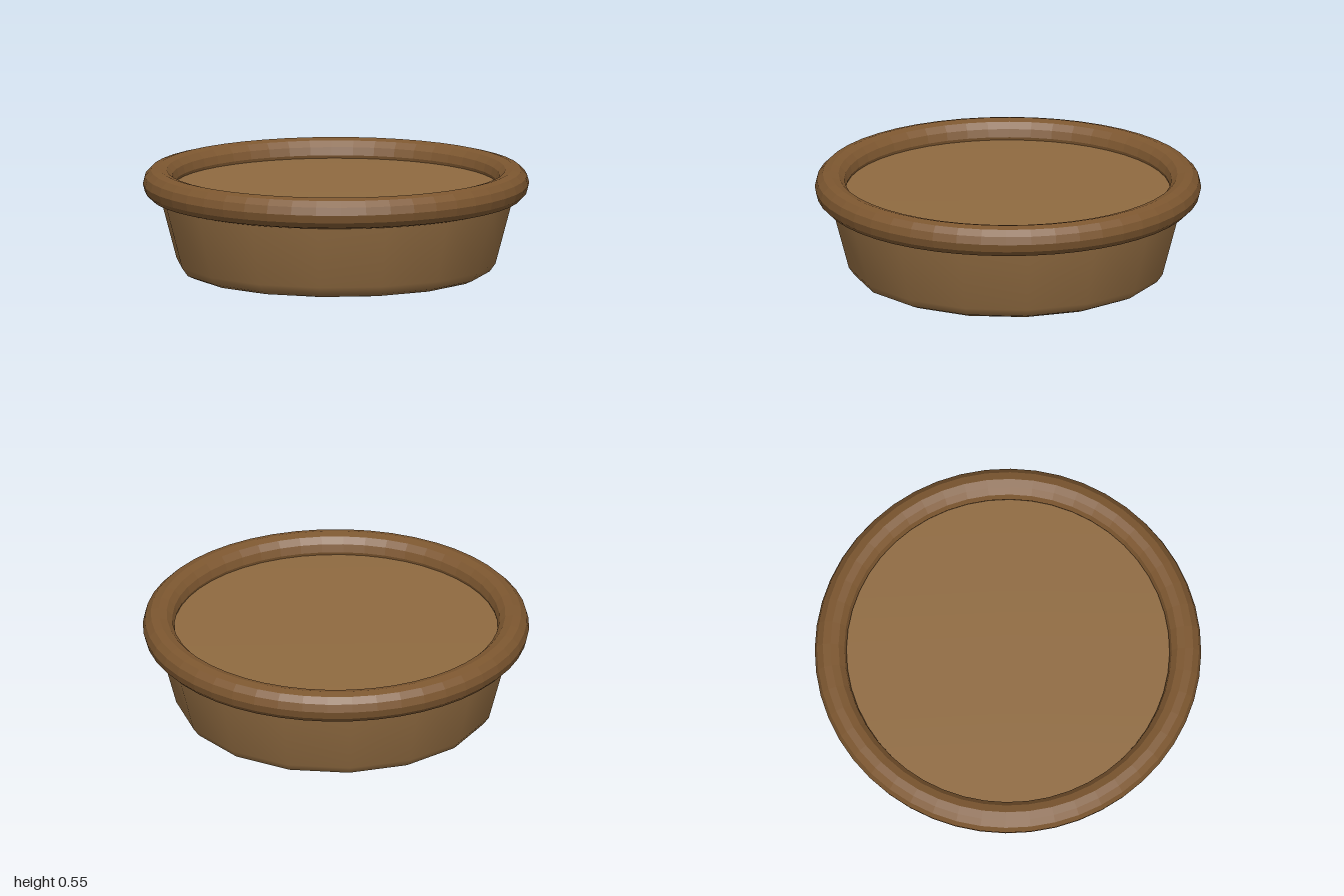
import * as THREE from 'three';

const RIM_Y = 0.468, RIM_RADIUS = 0.918, RIM_TUBE = 0.082;

function addPart(group, name, geometry, color, flatShading = false) {
  const material = new THREE.MeshStandardMaterial({ color, flatShading });
  const mesh = new THREE.Mesh(geometry, material);
  mesh.name = name;
  group.add(mesh);
  return mesh;
}

export function createModel() {
  const model = new THREE.Group();
  model.name = 'shallowRoundBowl';

  // Solid tapered sixteen-sided body: rounded bottom edge, bevelled flat top sunk inside the rim
  const bodyProfile = [
    [0, 0], [0.76, 0], [0.8, 0.018], [0.83, 0.06], [0.928, 0.43], [0.89, 0.452], [0, 0.452],
  ].map(([radius, y]) => new THREE.Vector2(radius, y));
  addPart(model, 'body', new THREE.LatheGeometry(bodyProfile, 16), 0x8f6a40);

  // Faceted ring around the top
  const rimGeometry = new THREE.TorusGeometry(RIM_RADIUS, RIM_TUBE, 12, 48);
  rimGeometry.rotateX(-Math.PI / 2);
  addPart(model, 'rim', rimGeometry, 0x7d5730, true).position.y = RIM_Y;

  return model;
}
